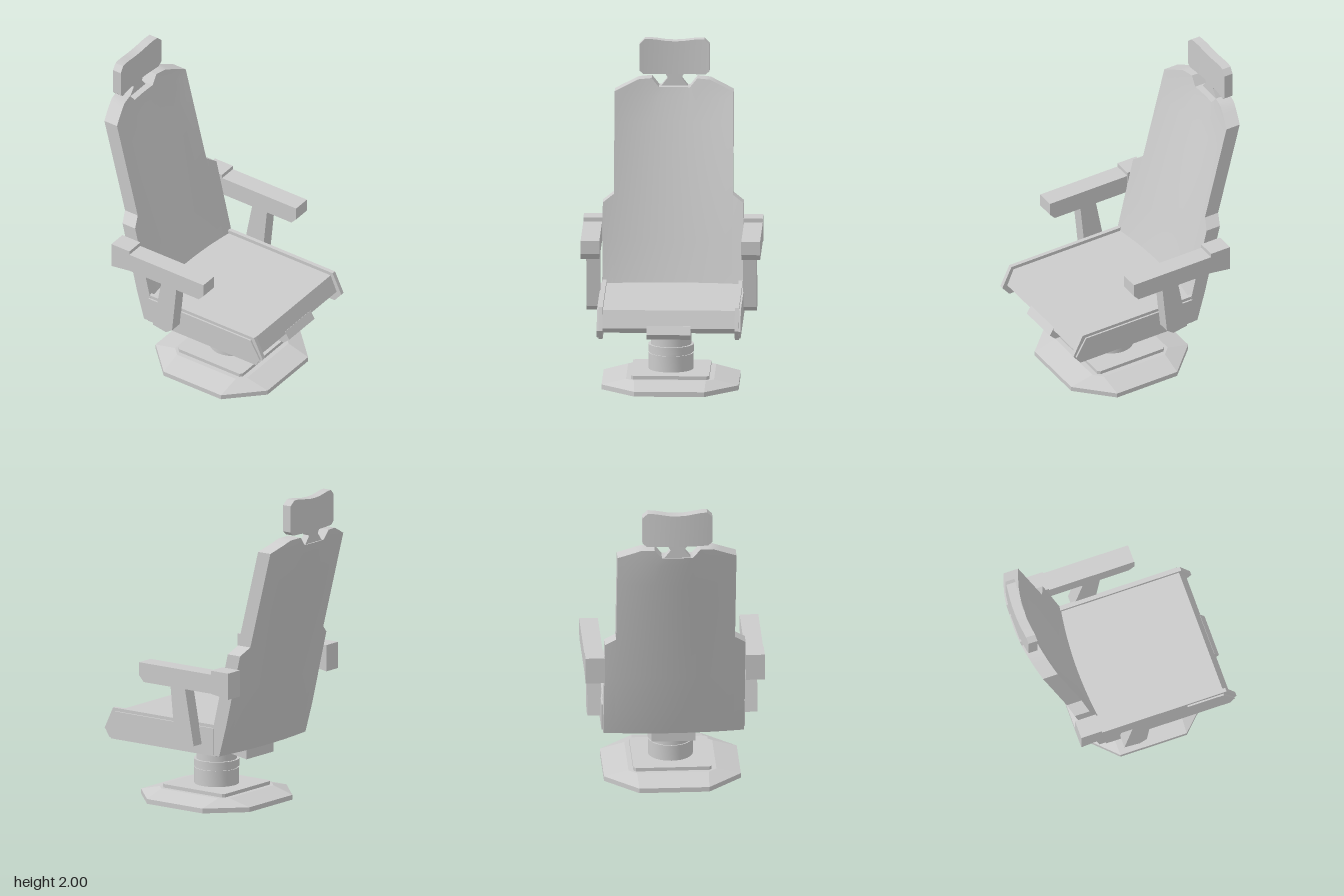
import * as THREE from 'three';
import { toCreasedNormals } from 'three/addons/utils/BufferGeometryUtils.js';
import { ConvexGeometry } from 'three/addons/geometries/ConvexGeometry.js';

const grey = new THREE.MeshStandardMaterial({ color: 0xcccccc });

// piecewise linear lookup through [input, output] pairs
function lerpTable(table, t) {
  for (let i = 1; i < table.length; i++) {
    const [a, va] = table[i - 1], [b, vb] = table[i];
    if (t <= b) return va + (vb - va) * (t - a) / (b - a);
  }
  return table[table.length - 1][1];
}

// side profile of [z, y] points extruded from x0 to x1
function sideProfile(points, x0, x1) {
  const shape = new THREE.Shape(points.map(p => new THREE.Vector2(...p)));
  const geo = new THREE.ExtrudeGeometry(shape, { depth: x1 - x0, bevelEnabled: false });
  return geo.rotateY(-Math.PI / 2).translate(x1, 0, 0);
}

// curved slab: a box whose columns sit at xs and whose rows run from bottom(x) to top(x)
function curvedSlab(xs, rows, bottom, top, frontZ, thickness) {
  const nx = xs.length - 1, ny = rows.length + 1;
  const geo = new THREE.BoxGeometry(1, 1, 1, nx, ny, 1);
  const p = geo.attributes.position;
  for (let i = 0; i < p.count; i++) {
    const x = xs[Math.round((p.getX(i) + 0.5) * nx)];
    const r = Math.round((p.getY(i) + 0.5) * ny);
    const y = r === 0 ? bottom(x) : r === ny ? top(x) : rows[r - 1];
    p.setXYZ(i, x, y, frontZ(x, y) - (p.getZ(i) < 0 ? thickness : 0));
  }
  return toCreasedNormals(geo, 0.5);
}

const mirrored = half => [...half.slice(1).reverse().map(x => -x), ...half];

// square loop with cut corners: half width h, cut starting at c
function cutSquare(h, c, y) {
  const corners = [[h, c], [c, h], [-c, h], [-h, c], [-h, -c], [-c, -h], [c, -h], [h, -c]];
  return corners.map(([x, z]) => new THREE.Vector3(x, y, z));
}

export function createModel() {
  const chair = new THREE.Group();
  chair.name = 'swivelChair';
  const add = (name, geo, parent = chair) => {
    const mesh = new THREE.Mesh(geo, grey);
    mesh.name = name;
    parent.add(mesh);
    return mesh;
  };

  // pedestal
  const pedestal = new THREE.Group();
  pedestal.name = 'pedestal';
  pedestal.position.z = 0.115;
  chair.add(pedestal);
  add('basePlate', new ConvexGeometry([
    ...cutSquare(0.42, 0.215, 0), ...cutSquare(0.42, 0.215, 0.03), ...cutSquare(0.27, 0.22, 0.068)]), pedestal);
  add('baseStep', new ConvexGeometry([
    ...cutSquare(0.24, 0.225, 0.06), ...cutSquare(0.24, 0.225, 0.09)]), pedestal);
  const column = [[0.138, 0.08], [0.138, 0.19], [0.13, 0.19], [0.13, 0.2], [0.14, 0.2],
    [0.14, 0.245], [0.125, 0.245], [0.125, 0.385]];
  add('column', toCreasedNormals(new THREE.LatheGeometry(
    column.map(p => new THREE.Vector2(...p)), 32), 0.6), pedestal);

  // seat
  add('seatCushion', sideProfile(
    [[-0.24, 0.41], [0.58, 0.41], [0.615, 0.445], [0.57, 0.55], [-0.24, 0.55]], -0.405, 0.405));
  add('seatBracket', sideProfile(
    [[-0.22, 0.305], [0.2, 0.373], [0.6, 0.373], [0.64, 0.41], [0.61, 0.46], [-0.22, 0.46]], -0.135, 0.135));

  // backrest: leans back and wraps slightly around the sitter
  const lean = [[0.38, -0.175], [0.57, -0.235], [1.08, -0.375], [1.69, -0.547], [1.77, -0.56]];
  const backZ = (x, y) => lerpTable(lean, y) + (0.027 + 0.033 * (y - 0.38)) * (x / 0.4) ** 2;
  const backTop = [[0, 1.705], [0.095, 1.705], [0.14, 1.76], [0.22, 1.755], [0.365, 1.69]];
  const floor = () => 0.38;
  add('backrest', curvedSlab(mirrored([0, 0.05, 0.095, 0.14, 0.18, 0.22, 0.27, 0.32, 0.365]),
    [0.57, 0.8, 1.08, 1.3, 1.5, 1.65], floor, x => lerpTable(backTop, Math.abs(x)), backZ, 0.095));

  // headrest
  const headTop = [[0, 1.984], [0.05, 1.986], [0.11, 1.995], [0.15, 2], [0.182, 2], [0.215, 1.968]];
  const headBottom = [[0, 1.78], [0.19, 1.78], [0.215, 1.803]];
  add('headrest', curvedSlab(mirrored([0, 0.05, 0.08, 0.11, 0.15, 0.182, 0.19, 0.215]), [],
    x => lerpTable(headBottom, Math.abs(x)), x => lerpTable(headTop, Math.abs(x)),
    x => -0.584 + 0.018 * (x / 0.215) ** 2, 0.058));
  const neck = new THREE.Shape([[-0.085, 1.7], [0.085, 1.7], [0.042, 1.755], [0.06, 1.785],
    [-0.06, 1.785], [-0.042, 1.755]].map(p => new THREE.Vector2(...p)));
  add('headrestNeck', new THREE.ExtrudeGeometry(neck, { depth: 0.045, bevelEnabled: false })
    .translate(0, 0, -0.635));

  // paired parts
  for (const s of [1, -1]) {
    const side = s > 0 ? 'left' : 'right';
    const pair = (name, points, x0, x1) =>
      add(side + name, sideProfile(points, s > 0 ? x0 : -x1, s > 0 ? x1 : -x0));

    const wingXs = [0.365, 0.4, 0.432].map(x => x * s);
    if (s < 0) wingXs.reverse();
    add(side + 'BackrestWing', curvedSlab(wingXs, [0.57, 0.8], floor,
      x => lerpTable([[0.365, 1.08], [0.432, 1.032]], Math.abs(x)), backZ, 0.095));

    pair('SeatSide', [[-0.21, 0.375], [0.6, 0.375], [0.65, 0.437], [0.585, 0.572], [-0.21, 0.572]], 0.405, 0.43);
    pair('SeatSidePanel', [[-0.2, 0.385], [0.605, 0.385], [0.635, 0.433], [0.565, 0.552], [-0.2, 0.552]], 0.425, 0.441);
    pair('Armrest', [[-0.27, 0.8], [0.255, 0.8], [0.29, 0.838], [0.29, 0.92], [-0.27, 0.92]], 0.435, 0.55);
    pair('ArmrestHinge', [[-0.4, 0.78], [-0.265, 0.8], [-0.265, 0.945], [-0.4, 0.945]], 0.433, 0.55);
    pair('ArmrestStrut', [[-0.11, 0.442], [-0.01, 0.425], [0.035, 0.458], [0.07, 0.81], [-0.04, 0.81]], 0.438, 0.522);
  }
  return chair;
}
